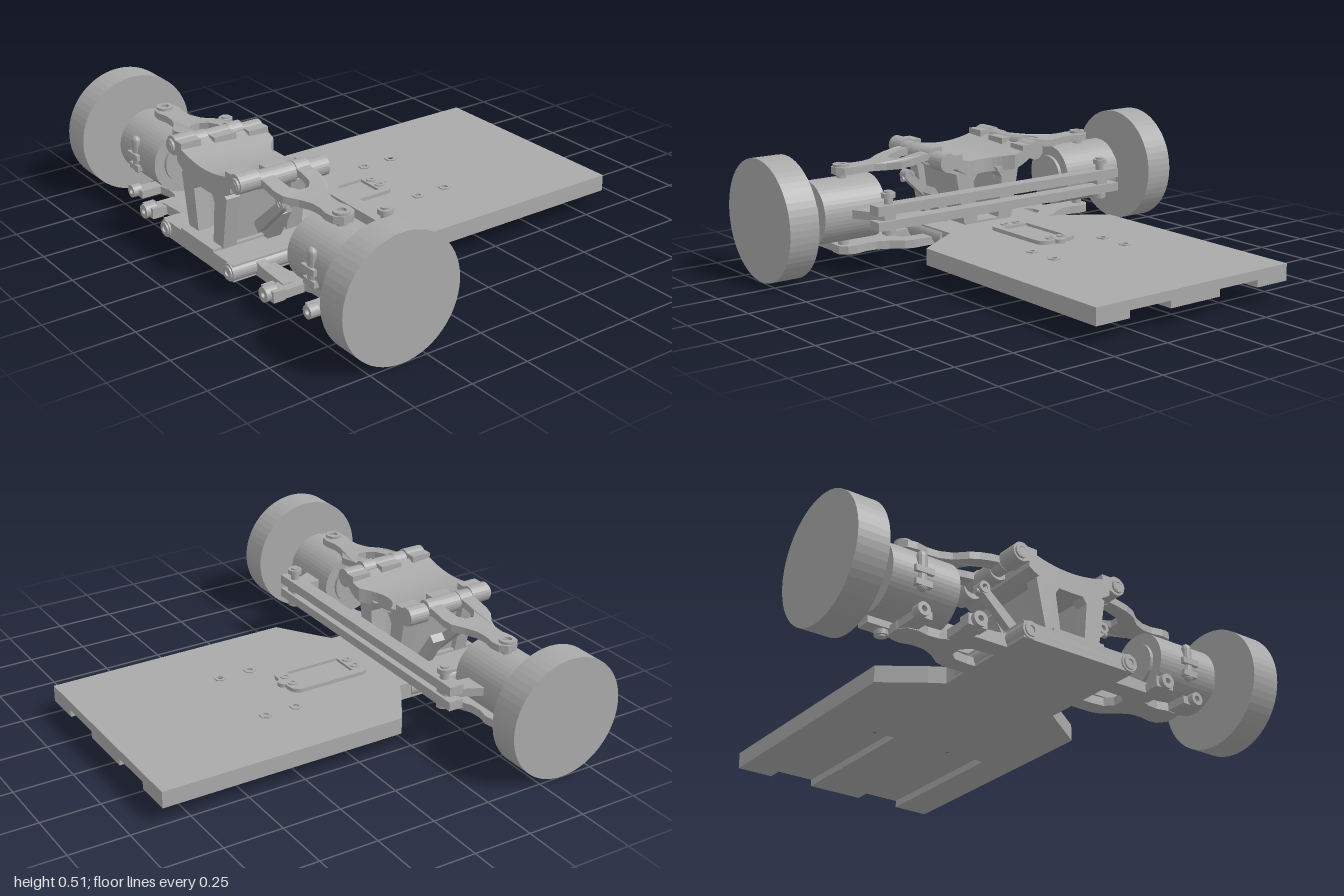
import * as THREE from 'three';

const metal = new THREE.MeshStandardMaterial({ color: 0xa9a9a9, flatShading: true });
metal.name = 'plain grey';

export function createModel() {
  const root = new THREE.Group();
  root.name = 'steeringChassis';

  const add = (name, geo, x = 0, y = 0, z = 0) => {
    const m = new THREE.Mesh(geo, metal);
    m.name = name;
    m.position.set(x, y, z);
    root.add(m);
    return m;
  };
  // box given by its limits
  const box = (name, x0, x1, y0, y1, z0, z1) =>
    add(name, new THREE.BoxGeometry(Math.abs(x1 - x0), y1 - y0, z1 - z0),
      (x0 + x1) / 2, (y0 + y1) / 2, (z0 + z1) / 2);
  // cylinder along an axis
  const rod = (name, axis, r, len, x, y, z, sides = 24) => {
    const g = new THREE.CylinderGeometry(r, r, len, sides);
    if (axis === 'x') g.rotateZ(Math.PI / 2);
    if (axis === 'z') g.rotateX(Math.PI / 2);
    return add(name, g, x, y, z);
  };
  // flat ring or nut, hole along an axis
  const ring = (name, axis, r, hole, len, x, y, z, sides = 20) => {
    const s = new THREE.Shape().absarc(0, 0, r, 0, Math.PI * 2);
    s.holes.push(new THREE.Path().absarc(0, 0, hole, 0, Math.PI * 2, true));
    const g = new THREE.ExtrudeGeometry(s, { depth: len, bevelEnabled: false, curveSegments: sides });
    g.translate(0, 0, -len / 2);
    if (axis === 'y') g.rotateX(Math.PI / 2);
    if (axis === 'x') g.rotateY(Math.PI / 2);
    return add(name, g, x, y, z);
  };
  // outline in x, z raised from y0 to y1
  const slab = (name, pts, y0, y1, holes = []) => {
    const s = new THREE.Shape(pts.map(([x, z]) => new THREE.Vector2(x, -z)));
    for (const [x, z, r] of holes) s.holes.push(new THREE.Path().absarc(x, -z, r, 0, Math.PI * 2, true));
    const g = new THREE.ExtrudeGeometry(s, { depth: y1 - y0, bevelEnabled: false, curveSegments: 10 });
    g.rotateX(-Math.PI / 2).translate(0, y0, 0);
    return add(name, g);
  };
  // outline in x, y running from z0 to z1
  const frontal = (name, pts, z0, z1) => {
    const s = new THREE.Shape(pts.map(([x, y]) => new THREE.Vector2(x, y)));
    const g = new THREE.ExtrudeGeometry(s, { depth: z1 - z0, bevelEnabled: false });
    return add(name, g.translate(0, 0, z0));
  };

  // floor plate, its lower half cut by two long grooves
  const nose = [[0.47, 0.2], [0.3, 0.315], [0.25, 0.35], [0.25, 0.83], [-0.27, 0.83], [-0.27, 0.35], [-0.33, 0.315], [-0.5, 0.2]];
  const bolts = [[-0.2, -0.25], [0.17, -0.25], [-0.2, -0.11], [0.17, -0.11]];
  const boltHoles = bolts.map(([x, z]) => [x, z, 0.014]);
  slab('floorPlate', [[-0.5, -0.865], [0.47, -0.865], ...nose], 0.105, 0.145, boltHoles);
  slab('floorPlateUnderside', [[-0.5, -0.865], [-0.34, -0.865], [-0.34, -0.2], [-0.14, -0.2], [-0.14, -0.865],
    [0.11, -0.865], [0.11, -0.2], [0.31, -0.2], [0.31, -0.865], [0.47, -0.865], ...nose], 0.075, 0.105);
  for (const [x, z] of bolts) ring('plateNut', 'y', 0.027, 0.014, 0.008, x, 0.146, z, 3);

  // raised rounded frame on the plate
  const frame = new THREE.Shape();
  frame.absarc(0.035, 0.015, 0.045, 0, Math.PI / 2);
  frame.absarc(-0.065, 0.015, 0.045, Math.PI / 2, Math.PI);
  frame.absarc(-0.065, -0.265, 0.045, Math.PI, Math.PI * 1.5);
  frame.absarc(0.035, -0.265, 0.045, Math.PI * 1.5, Math.PI * 2);
  frame.holes.push(new THREE.Path([[-0.075, 0], [0.05, 0], [0.05, -0.245], [-0.075, -0.245]].map(p => new THREE.Vector2(...p))));
  add('slotFrame', new THREE.ExtrudeGeometry(frame, { depth: 0.016, bevelEnabled: false, curveSegments: 6 })
    .rotateX(-Math.PI / 2), 0, 0.145, 0);
  box('slotFloor', -0.075, 0.05, 0.14, 0.149, 0, 0.245);
  for (const [x, z] of [[-0.045, 0.275], [0.015, 0.275], [-0.045, -0.03], [0.015, -0.03]])
    ring('frameRivet', 'y', 0.02, 0.01, 0.008, x, 0.162, z);
  rod('frameKnob', 'y', 0.025, 0.02, -0.015, 0.152, -0.055);

  // arched top of the bulkhead: dips in the middle, scalloped at the back
  const arch = new THREE.BoxGeometry(0.39, 1, 0.4, 20, 1, 8);
  const p = arch.attributes.position;
  for (let i = 0; i < p.count; i++) {
    const x = p.getX(i), t = (p.getZ(i) + 0.2) / 0.4, a = Math.abs(x) / 0.195;
    const scallop = 0.07 * Math.max(0, 1 - (x / 0.12) ** 2);
    const top = 0.415 + 0.035 * a * a + 0.025 * t;
    const low = 0.355 + 0.05 * a * a * a;
    p.setXYZ(i, x - 0.01, p.getY(i) > 0 ? top : low, 0.39 + scallop + t * (0.4 - scallop));
  }
  arch.computeVertexNormals();
  add('bulkheadArch', arch);
  box('bulkheadBase', -0.13, 0.11, 0.14, 0.155, 0.43, 0.83);

  for (const s of [-1, 1]) {
    const o = -0.008; // the frame sits slightly off the wheel centre line
    const X = x => s * x + o;

    // wheel, stub axle and hub
    rod('wheel', 'x', 0.255, 0.13, s * 0.935, 0.26, 0.61, 56);
    rod('stubAxle', 'x', 0.02, 0.1, s * 0.84, 0.26, 0.605);
    rod('hubCollar', 'x', 0.082, 0.06, s * 0.795, 0.26, 0.605, 32);
    rod('hub', 'x', 0.135, 0.29, s * 0.63, 0.26, 0.605, 48);
    rod('hubInnerCap', 'x', 0.09, 0.02, s * 0.48, 0.26, 0.605, 32);
    rod('kingpin', 'y', 0.022, 0.35, X(0.63), 0.265, 0.595);
    ring('kingpinRing', 'y', 0.034, 0.018, 0.012, X(0.63), 0.445, 0.595);
    const grip = add('hubLatch', new THREE.CapsuleGeometry(0.022, 0.12, 4, 12), X(0.64), 0.265, 0.732);
    grip.scale.z = 0.8;
    box('hubLatchBlock', X(0.6), X(0.68), 0.25, 0.275, 0.72, 0.755);
    box('hubLatchFoot', X(0.605), X(0.675), 0.2, 0.225, 0.7, 0.75);

    // bulkhead pillars, front and back
    for (const [z0, z1] of [[0.73, 0.79], [0.43, 0.5]])
      frontal('bulkheadPillar', [[X(0.055), 0.15], [X(0.125), 0.15], [X(0.165), 0.37], [X(0.14), 0.385], [X(0.045), 0.375], [X(0.075), 0.33]], z0, z1);
    frontal('pillarWeb', [[X(0.065), 0.15], [X(0.1), 0.15], [X(0.13), 0.37], [X(0.075), 0.37]], 0.49, 0.74);

    // hinge knuckles, upper and lower, with fork eyes between them
    for (const [z0, z1] of [[0.39, 0.48], [0.54, 0.64], [0.70, 0.79]]) {
      const y = 0.43 + 0.03 * ((z0 + z1) / 2 - 0.39) / 0.4;
      rod('upperKnuckle', 'z', 0.04, z1 - z0, X(0.23), y, (z0 + z1) / 2);
      box('upperKnuckleRoot', X(0.16), X(0.23), y - 0.03, y + 0.03, z0, z1);
    }
    rod('upperHingePin', 'z', 0.018, 0.41, X(0.235), 0.45, 0.595);
    ring('upperHingeRing', 'z', 0.028, 0.016, 0.01, X(0.235), 0.455, 0.794);
    rod('lowerKnuckle', 'z', 0.036, 0.43, X(0.235), 0.11, 0.622);
    ring('lowerHingeRing', 'z', 0.028, 0.014, 0.012, X(0.235), 0.11, 0.838);
    for (const z of [0.51, 0.67]) rod('upperForkEye', 'z', 0.036, 0.06, X(0.235), 0.452, z);

    // upper and lower arms: a two-pronged fork narrowing to an eye
    const half = [[0.22, 0.05], [0.3, 0.05], [0.36, 0.045], [0.39, 0.02]];
    const outer = [[0.22, 0.11], [0.3, 0.11], [0.36, 0.11], [0.4, 0.1], [0.45, 0.065], [0.5, 0.045], [0.55, 0.042], [0.6, 0.052], [0.64, 0.047], [0.667, 0.02]];
    const fork = (sx) => [
      ...outer.map(([x, z]) => [X(x), 0.592 + z * sx]),
      ...[...outer].reverse().map(([x, z]) => [X(x), 0.592 - z * sx]),
      ...half.map(([x, z]) => [X(x), 0.592 - z * sx]),
      ...[...half].reverse().map(([x, z]) => [X(x), 0.592 + z * sx]),
    ];
    const upper = slab('upperArm', fork(1), 0.41, 0.44);
    const q = upper.geometry.attributes.position;
    for (let i = 0; i < q.count; i++) {
      const t = THREE.MathUtils.clamp((0.46 - Math.abs(q.getX(i) - o)) / 0.24, 0, 1);
      q.setY(i, q.getY(i) + 0.032 * t * t * (3 - 2 * t));
    }
    upper.geometry.computeVertexNormals();
    slab('lowerArm', fork(1.15), 0.075, 0.11);

    // lower arm brackets
    box('bracketArm', X(0.41), X(0.48), 0.075, 0.11, 0.66, 0.77);
    for (const x of [0.415, 0.475]) box('bracketTab', X(x - 0.012), X(x + 0.012), 0.075, 0.12, 0.75, 0.8);
    ring('bracketEye', 'z', 0.03, 0.012, 0.05, X(0.445), 0.1, 0.795);
    box('outerBracket', X(0.6), X(0.665), 0.078, 0.11, 0.62, 0.74);
    ring('outerBracketEye', 'z', 0.027, 0.012, 0.04, X(0.65), 0.1, 0.745);
    frontal('lowerFrontLink', [[X(0.235), 0.075], [X(0.235), 0.14], [X(0.3), 0.125], [X(0.445), 0.115], [X(0.445), 0.075]], 0.69, 0.73);

    // slanted struts with an eye on top
    frontal('slantedStrut', [[X(0.28), 0.365], [X(0.305), 0.34], [X(0.13), 0.175], [X(0.1), 0.21]], 0.6, 0.635);
    frontal('shortStrut', [[X(0.2), 0.3], [X(0.225), 0.275], [X(0.14), 0.14], [X(0.1), 0.15]], 0.54, 0.6);
    ring('strutEye', 'z', 0.024, 0.012, 0.045, X(0.29), 0.357, 0.617);
    rod('strutPin', 'x', 0.012, 0.06, X(0.29), 0.34, 0.615);

    // steering arm from the hub to the cross bars
    slab('steeringArm', [[X(0.535), 0.33], [X(0.59), 0.33], [X(0.67), 0.5], [X(0.56), 0.5]], 0.245, 0.28);
    rod('steeringPin', 'y', 0.018, 0.185, X(0.56), 0.277, 0.347);
    ring('steeringPinHead', 'y', 0.03, 0.013, 0.02, X(0.56), 0.352, 0.347);
    ring('steeringPinNut', 'y', 0.028, 0.013, 0.02, X(0.56), 0.2, 0.347);
  }

  // paired steering cross bars
  box('lowerCrossBar', -0.65, 0.62, 0.212, 0.25, 0.316, 0.38);
  box('upperCrossBar', -0.65, 0.62, 0.275, 0.315, 0.316, 0.38);

  return root;
}
